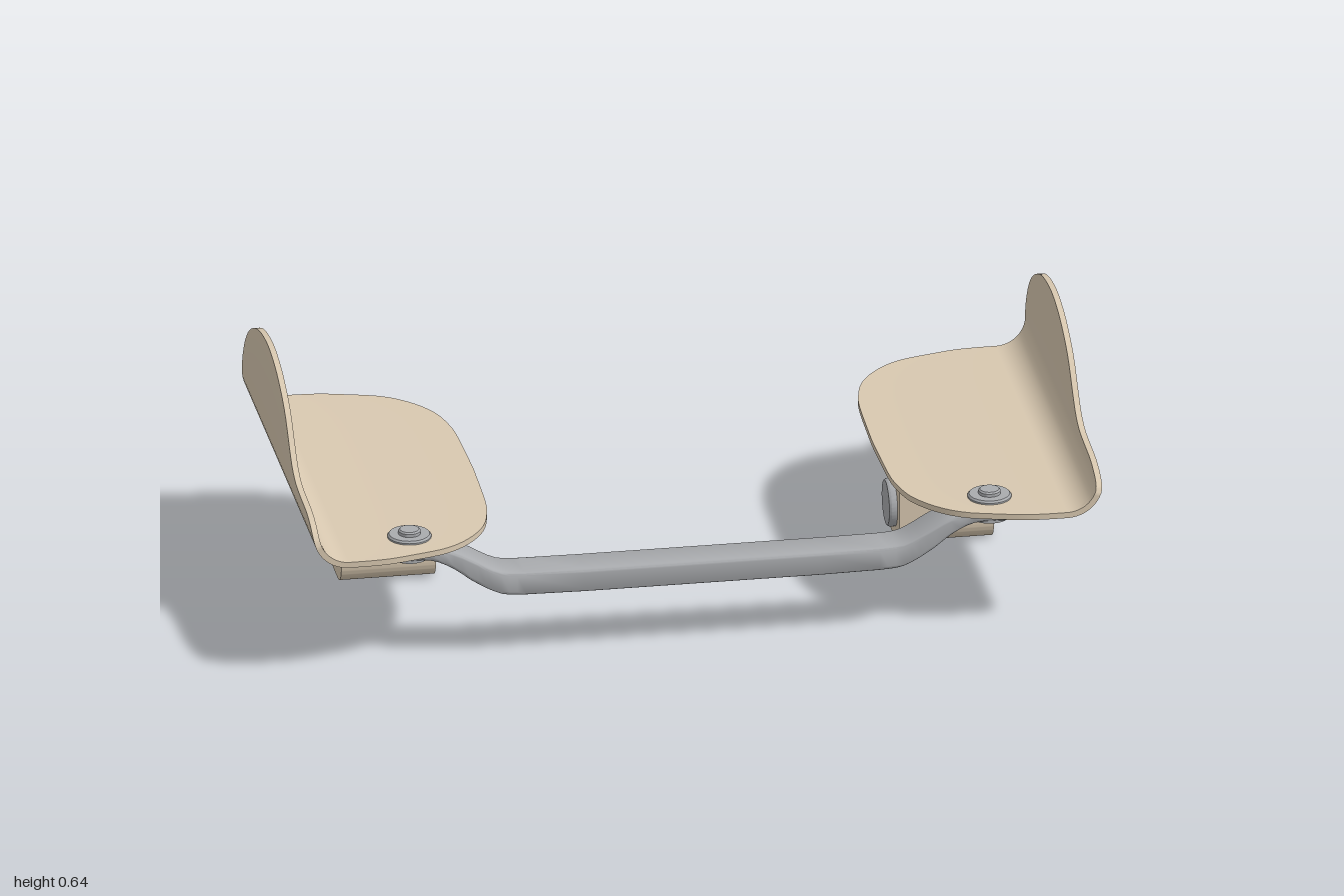
import * as THREE from 'three';
import { toCreasedNormals } from 'three/addons/utils/BufferGeometryUtils.js';

const tan = new THREE.MeshStandardMaterial({ color: 0xd8c8b0 });
const steel = new THREE.MeshStandardMaterial({ color: 0xa9abae });

function mesh(name, geometry, material) {
  const m = new THREE.Mesh(geometry, material);
  m.name = name;
  return m;
}

// Skin through closed rings of equal length, with strip caps on both ends
function loft(rings, crease) {
  const n = rings[0].length, last = (rings.length - 1) * n, index = [];
  const quad = (a, b, c, d) => index.push(a, b, c, a, c, d);
  for (let i = 0; i < rings.length - 1; i++) {
    for (let j = 0; j < n; j++) {
      const k = (j + 1) % n;
      quad(i * n + j, i * n + k, (i + 1) * n + k, (i + 1) * n + j);
    }
  }
  for (let j = 0; j < n / 2 - 1; j++) {
    quad(last + j, last + j + 1, last + n - 2 - j, last + n - 1 - j);
    quad(n - 1 - j, n - 2 - j, j + 1, j);
  }
  const g = new THREE.BufferGeometry();
  g.setAttribute('position', new THREE.Float32BufferAttribute(rings.flat(2), 3));
  g.setIndex(index);
  return toCreasedNormals(g, crease);
}

// Smooth lookup through [u, v] points with rising u
function lookup(points) {
  const pts = new THREE.SplineCurve(points.map(p => new THREE.Vector2(...p))).getPoints(160);
  return u => {
    let i = 1;
    while (i < pts.length - 1 && pts[i].x < u) i++;
    const a = pts[i - 1], b = pts[i];
    const t = THREE.MathUtils.clamp((u - a.x) / (b.x - a.x || 1), 0, 1);
    return a.y + (b.y - a.y) * t;
  };
}

// Height of the outer wall along z
const wallTop = lookup([[-0.527, 0.42], [-0.513, 0.458], [-0.48, 0.508], [-0.43, 0.553], [-0.36, 0.592],
  [-0.27, 0.623], [-0.16, 0.637], [-0.07, 0.629], [0.01, 0.607], [0.1, 0.561], [0.173, 0.489], [0.21, 0.457],
  [0.26, 0.436], [0.33, 0.429], [0.42, 0.425], [0.48, 0.411], [0.515, 0.392], [0.527, 0.376]]);
// Inner edge of the floor, by distance from the middle
const floorEdge = lookup([[0, 0.505], [0.2, 0.51], [0.28, 0.519], [0.36, 0.542], [0.43, 0.59],
  [0.48, 0.655], [0.508, 0.745], [0.523, 0.81], [0.527, 0.87]]);

// Bent sheet: flat floor, rounded fold, upright wall
function plateGeometry() {
  const R = 0.09, thick = 0.015, base = 0.314, steps = 10, rings = [];
  for (let i = 0; i <= 72; i++) {
    const z = 0.527 * Math.sin((i / 72 - 0.5) * Math.PI);
    const top = wallTop(z), edge = floorEdge(Math.abs(z));
    const sweep = Math.acos(THREE.MathUtils.clamp((base + R - top) / R, 0, 1));
    const side = r => {
      const pts = [[edge, base + R - r, z]];
      for (let k = 0; k <= steps; k++) {
        const a = sweep * k / steps;
        pts.push([1 - R + r * Math.sin(a), base + R - r * Math.cos(a), z]);
      }
      const end = pts[pts.length - 1];
      pts.push([end[0], Math.max(end[1], top), z]);
      return pts;
    };
    rings.push([...side(R), ...side(R - thick).reverse()]);
  }
  return loft(rings, 0.7);
}

// Leg block with two rounded lower edges, extruded across x
function legGeometry() {
  const w = 0.085, r = 0.05, h = 0.318;
  const s = new THREE.Shape();
  s.moveTo(-w, h);
  s.lineTo(-w, r);
  s.absarc(-w + r, r, r, Math.PI, Math.PI * 1.5, false);
  s.lineTo(w - r, 0);
  s.absarc(w - r, r, r, -Math.PI / 2, 0, false);
  s.lineTo(w, h);
  const g = new THREE.ExtrudeGeometry(s, { depth: 0.24, bevelEnabled: false, curveSegments: 10 });
  g.rotateY(Math.PI / 2).translate(0.587, 0, -0.156);
  return toCreasedNormals(g, 0.6);
}

function lathe(points) {
  return toCreasedNormals(new THREE.LatheGeometry(points.map(p => new THREE.Vector2(...p)), 36), 0.6);
}

// Cranked bar with a rounded rectangular section, thinner at its ends
function barGeometry() {
  const upper = lookup([[0, 0.229], [0.3, 0.229], [0.47, 0.231], [0.52, 0.24], [0.58, 0.273],
    [0.63, 0.299], [0.68, 0.309], [0.73, 0.309], [0.8, 0.304]]);
  const lower = lookup([[0, 0.167], [0.3, 0.167], [0.47, 0.17], [0.52, 0.18], [0.58, 0.214],
    [0.63, 0.252], [0.68, 0.277], [0.73, 0.282], [0.8, 0.278]]);
  const half = [0, 0.3, 0.45];
  for (let x = 0.47; x < 0.76; x += 0.02) half.push(x);
  for (let i = 0; i <= 6; i++) half.push(0.764 + 0.032 * Math.sin(i / 6 * Math.PI / 2));
  const xs = [...half.slice(1).reverse().map(x => -x), ...half];
  const r = 0.01;
  return loft(xs.map(x => {
    const a = Math.abs(x), mid = (upper(a) + lower(a)) / 2, hy = (upper(a) - lower(a)) / 2;
    const q = Math.max(0, (a - 0.764) / 0.032);
    const hz = 0.053 - 0.032 * (1 - Math.sqrt(Math.max(0, 1 - q * q)));
    const ring = [];
    [[1, 1], [-1, 1], [-1, -1], [1, -1]].forEach(([sy, sz], c) => {
      for (let k = 0; k <= 4; k++) {
        const t = (c + k / 4) * Math.PI / 2;
        ring.push([x, mid + sy * (hy - r) + r * Math.cos(t), 0.393 + sz * (hz - r) + r * Math.sin(t)]);
      }
    });
    return ring;
  }), 0.65);
}

function createSide(name) {
  const side = new THREE.Group();
  side.name = name;
  side.add(mesh('plate', plateGeometry(), tan));
  side.add(mesh('leg', legGeometry(), tan));

  // Round button on the inner face of the leg
  const button = mesh('button', lathe([[0, -0.005], [0.061, -0.005], [0.061, 0.014], [0.057, 0.02], [0, 0.02]]), steel);
  button.rotation.z = Math.PI / 2;
  button.position.set(0.587, 0.088, -0.156);
  side.add(button);

  // Rivet through plate and bar, with a washer and small head at each end
  const rivet = mesh('rivet', lathe([[0, 0.265], [0.024, 0.265], [0.027, 0.268], [0.027, 0.276], [0.05, 0.276],
    [0.05, 0.284], [0.026, 0.284], [0.026, 0.326], [0.055, 0.326], [0.055, 0.333], [0.051, 0.338],
    [0.028, 0.338], [0.028, 0.346], [0.024, 0.35], [0, 0.35]]), steel);
  rivet.position.set(0.735, 0, 0.393);
  side.add(rivet);
  return side;
}

export function createModel() {
  const model = new THREE.Group();
  model.name = 'bracketPair';
  const left = createSide('leftBracket');
  const right = createSide('rightBracket');
  right.scale.x = -1;
  model.add(left, right, mesh('connectingBar', barGeometry(), steel));
  return model;
}
